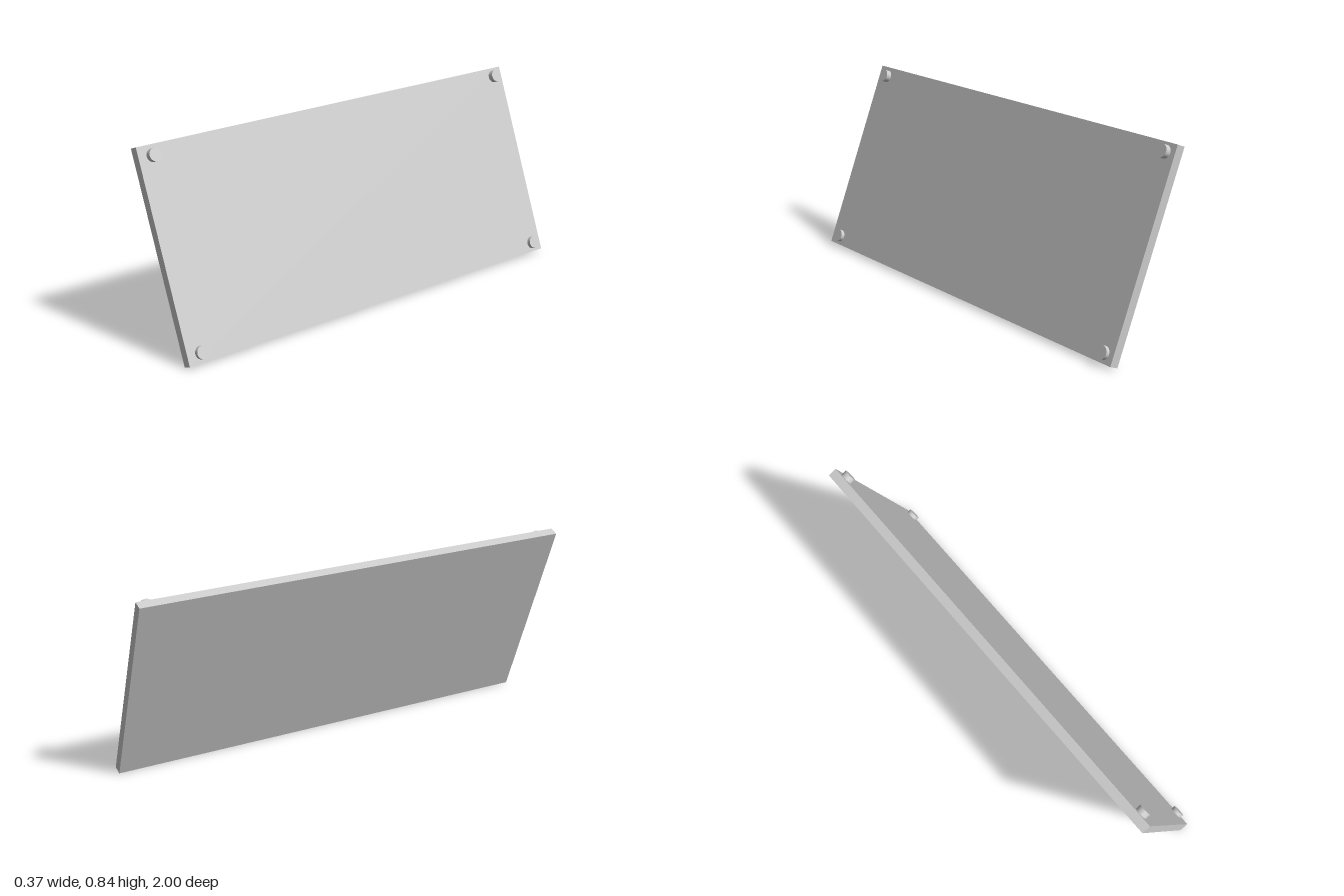
import * as THREE from 'three';

export function createModel() {
  const model = new THREE.Group();
  const material = new THREE.MeshStandardMaterial({ color: 0xcccccc });
  const thickness = 0.04;

  // Everything lies in the leaning panel's own frame: local x is its normal
  const board = new THREE.Group();
  board.name = 'leaningBoard';
  board.rotation.z = THREE.MathUtils.degToRad(21.1);
  board.position.set(-0.006, 0.4205, 0);
  model.add(board);

  const panel = new THREE.Mesh(new THREE.BoxGeometry(thickness, 0.886, 2), material);
  panel.name = 'panel';
  board.add(panel);

  // Round pegs standing on the face near each corner
  const addPeg = (name, along, z, height) => {
    const sunk = 0.005;
    const geometry = new THREE.CylinderGeometry(0.0275, 0.0275, height + sunk, 32);
    geometry.rotateZ(-Math.PI / 2);
    const peg = new THREE.Mesh(geometry, material);
    peg.name = name;
    peg.position.set(thickness / 2 + (height - sunk) / 2, along, z);
    board.add(peg);
  };
  addPeg('upperFrontPeg', 0.399, 0.935, 0.024);
  addPeg('upperBackPeg', 0.404, -0.948, 0.024);
  addPeg('lowerFrontPeg', -0.401, 0.935, 0.017);
  addPeg('lowerBackPeg', -0.401, -0.948, 0.017);

  return model;
}
